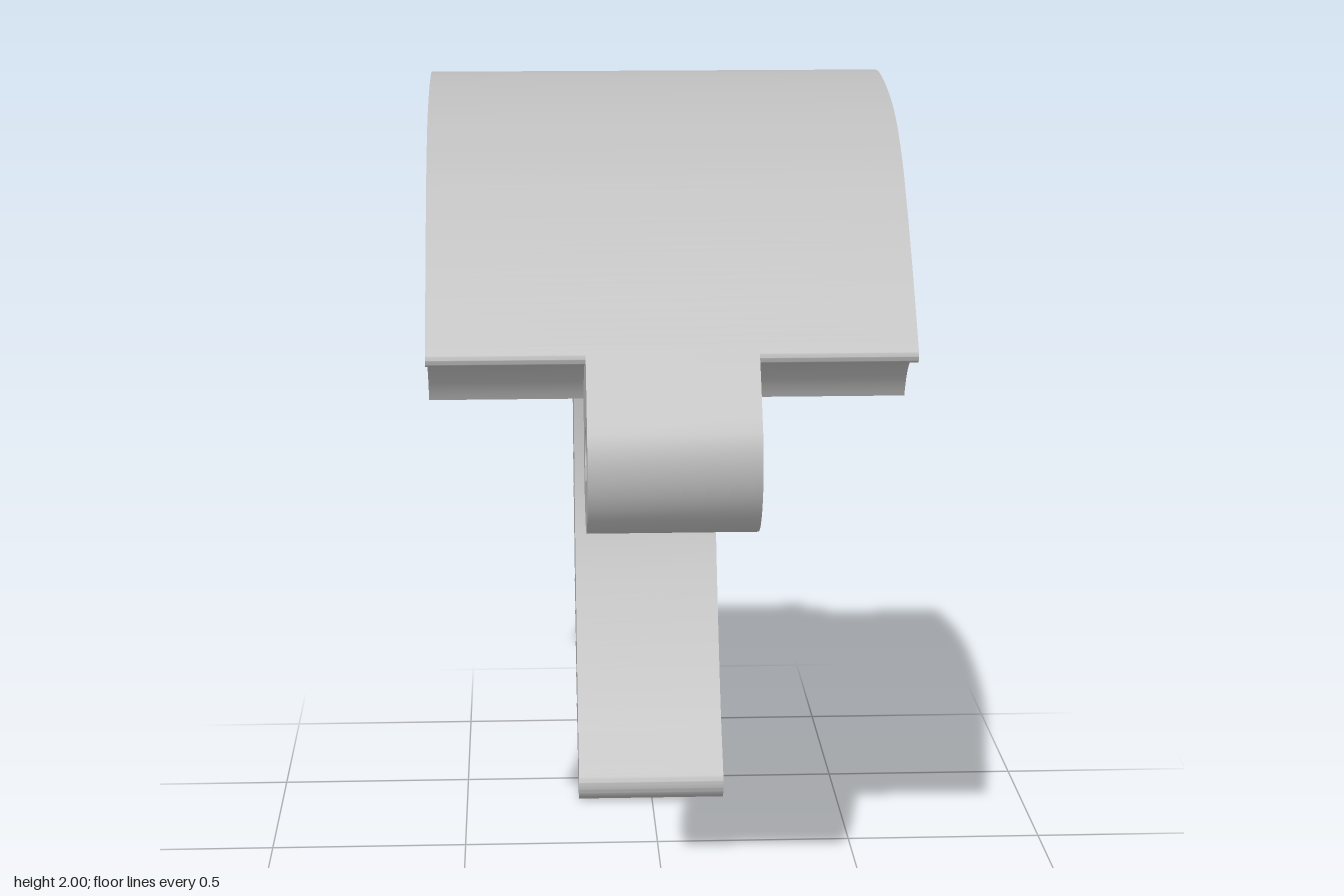
import * as THREE from 'three';
import { toCreasedNormals } from 'three/addons/utils/BufferGeometryUtils.js';

const SHELL_WIDTH = 1.105, ARM_WIDTH = 0.39;
const HINGE = [0.776, 1.23];
const rad = THREE.MathUtils.degToRad;
const vecs = (pts) => pts.map(([z, y]) => new THREE.Vector2(z, y));

// Extrude a side profile drawn in (z, y) across the model's width
function extrudeProfile(name, shape, width, material) {
  let geometry = new THREE.ExtrudeGeometry(shape, { depth: width, bevelEnabled: false, curveSegments: 8 });
  geometry.translate(0, 0, -width / 2);
  geometry.rotateY(-Math.PI / 2);
  geometry = toCreasedNormals(geometry, 0.45);
  const mesh = new THREE.Mesh(geometry, material);
  mesh.name = name;
  mesh.position.x = -0.003;
  return mesh;
}

// Cove concentric with the hinge, where the shell meets the lug
const addCove = (shape) => {
  for (let a = 156; a >= 85; a -= 3.55) {
    shape.lineTo(HINGE[0] + 0.215 * Math.cos(rad(a)), HINGE[1] + 0.215 * Math.sin(rad(a)));
  }
};

// Wide arched cover
function shellShape() {
  const s = new THREE.Shape();
  s.moveTo(0.815, 1.48);
  s.splineThru(vecs([[0.69, 1.625], [0.564, 1.756], [0.427, 1.873], [0.246, 1.957], [-0.04, 2],
    [-0.284, 1.968], [-0.43, 1.92], [-0.559, 1.862]]));
  s.splineThru(vecs([[-0.63, 1.8], [-0.676, 1.7], [-0.682, 1.62], [-0.662, 1.54], [-0.64, 1.492], [-0.617, 1.48]]));
  s.splineThru(vecs([[-0.522, 1.57], [-0.39, 1.655], [-0.23, 1.713], [-0.056, 1.73], [0.114, 1.708],
    [0.246, 1.655], [0.379, 1.57], [0.469, 1.475], [0.564, 1.325]]));
  addCove(s);
  s.splineThru(vecs([[0.815, 1.446], [0.824, 1.462], [0.815, 1.48]]));
  return s;
}

// Rounded hinge lug with a pin hole
function lugShape() {
  const s = new THREE.Shape();
  s.moveTo(0.815, 1.48);
  s.splineThru(vecs([[0.87, 1.408], [0.912, 1.344]]));
  s.absarc(...HINGE, 0.178, rad(40), rad(-148), true);
  s.splineThru(vecs([[0.607, 1.17], [0.595, 1.235], [0.564, 1.325]]));
  addCove(s);
  s.closePath();
  const hole = new THREE.Path();
  hole.absarc(...HINGE, 0.066, 0, Math.PI * 2, false);
  s.holes.push(hole);
  return s;
}

// Curved ratchet arm with saw teeth on its outer edge
function armShape() {
  const s = new THREE.Shape();
  s.moveTo(-0.5, 1.72);
  s.lineTo(-0.545, 1.866);
  s.splineThru(vecs([[-0.61, 1.832], [-0.681, 1.773], [-0.75, 1.695], [-0.819, 1.607]]));
  s.splineThru(vecs([[-0.804, 1.582], [-0.805, 1.548], [-0.825, 1.535], [-0.85, 1.535], [-0.914, 1.549]]));

  const TEETH = 18;
  const tips = new THREE.SplineCurve(vecs([[-0.914, 1.549], [-0.941, 1.374], [-0.946, 1.194], [-0.935, 1.013],
    [-0.904, 0.833], [-0.851, 0.658], [-0.782, 0.493], [-0.697, 0.334], [-0.596, 0.18], [-0.48, 0.048]]))
    .getSpacedPoints(TEETH);
  for (let i = 1; i <= TEETH; i++) {
    const t = (i - 1) / (TEETH - 1);
    const angle = rad(-14 + 43 * t), depth = 0.06 - 0.006 * t;
    s.lineTo(tips[i].x + depth * Math.cos(angle), tips[i].y + depth * Math.sin(angle));
    s.lineTo(tips[i].x, tips[i].y);
  }

  // Rounded free end, then the smooth inner edge back to the shell
  s.splineThru(vecs([[-0.41, 0.016], [-0.345, 0.001], [-0.305, 0.016], [-0.291, 0.05], [-0.31, 0.09],
    [-0.416, 0.217], [-0.548, 0.44], [-0.66, 0.679], [-0.718, 0.891], [-0.734, 1.077],
    [-0.718, 1.236], [-0.681, 1.369], [-0.617, 1.48]]));
  s.closePath();
  return s;
}

export function createModel() {
  const grey = new THREE.MeshStandardMaterial({ color: 0xbcbcbc });
  grey.name = 'grey';
  const group = new THREE.Group();
  group.name = 'ratchetClamp';
  group.add(
    extrudeProfile('archedShell', shellShape(), SHELL_WIDTH, grey),
    extrudeProfile('hingeLug', lugShape(), ARM_WIDTH, grey),
    extrudeProfile('toothedArm', armShape(), ARM_WIDTH, grey),
  );
  return group;
}
